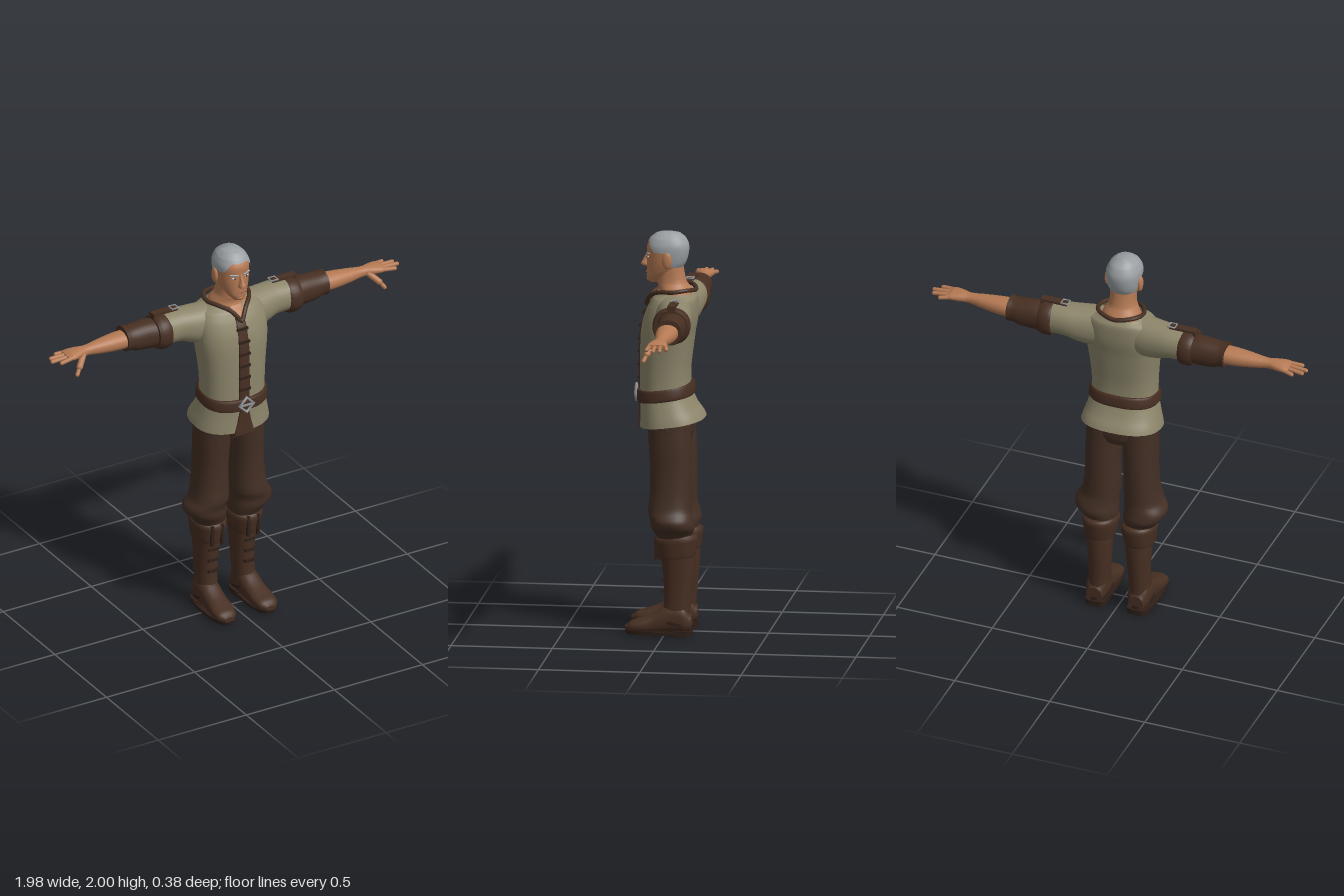
import * as THREE from 'three';
import { ParametricGeometry } from 'three/addons/geometries/ParametricGeometry.js';

const mat = (name, color, side = THREE.FrontSide) => {
  const m = new THREE.MeshStandardMaterial({ color, side });
  m.name = name;
  return m;
};

// Ring: [position on axis, centre u, centre v, radius u, radius v]
const ringY = (y, x, rx, zFront, zBack) => [y, (zFront + zBack) / 2, x, (zFront - zBack) / 2, rx];

// Smoothly interpolated ring at a position on the axis
function ringAt(rings, p) {
  let i = 0;
  while (i < rings.length - 2 && p > rings[i + 1][0]) i++;
  const a = rings[Math.max(i - 1, 0)], b = rings[i], c = rings[i + 1], d = rings[Math.min(i + 2, rings.length - 1)];
  const t = (p - b[0]) / (c[0] - b[0]);
  return b.map((v, k) => k === 0 ? p : v + 0.5 * t * (c[k] - a[k] +
    t * (2 * a[k] - 5 * v + 4 * c[k] - d[k] + t * (3 * (v - c[k]) + d[k] - a[k]))));
}

const pow = (v, n) => Math.sign(v) * Math.abs(v) ** (2 / n);
function ringPoint(axis, r, angle, n, grow = 0) {
  const u = r[1] + (r[3] + grow) * pow(Math.cos(angle), n);
  const v = r[2] + (r[4] + grow) * pow(Math.sin(angle), n);
  return axis === 'x' ? [r[0], u, v] : axis === 'y' ? [v, r[0], u] : [u, v, r[0]];
}

// Skin over rings that run along an axis in increasing order
function loft(axis, rings, { n = 2.2, steps = 4, sides = 32, caps = true } = {}) {
  const pos = [], idx = [], rows = [];
  rings.slice(0, -1).forEach((r, i) => {
    for (let k = 0; k < steps; k++) rows.push(ringAt(rings, r[0] + (rings[i + 1][0] - r[0]) * k / steps));
  });
  rows.push(rings[rings.length - 1]);
  const addRow = r => {
    for (let j = 0; j < sides; j++) pos.push(...ringPoint(axis, r, j / sides * Math.PI * 2, n));
  };
  rows.forEach(addRow);
  for (let i = 0; i < rows.length - 1; i++) for (let j = 0; j < sides; j++) {
    const a = i * sides + j, b = i * sides + (j + 1) % sides;
    idx.push(a, b, b + sides, a, b + sides, a + sides);
  }
  if (caps) [rows[0], rows[rows.length - 1]].forEach((r, end) => {
    const s = pos.length / 3;
    addRow(r);
    pos.push(...ringPoint(axis, [r[0], r[1], r[2], 0, 0], 0, n));
    for (let j = 0; j < sides; j++) {
      const a = s + j, b = s + (j + 1) % sides;
      idx.push(s + sides, end ? a : b, end ? b : a);
    }
  });
  const g = new THREE.BufferGeometry();
  g.setAttribute('position', new THREE.Float32BufferAttribute(pos, 3));
  g.setIndex(idx);
  g.computeVertexNormals();
  return g;
}

// Vertical shift that grows with depth
function tilt(g, slope, weight = () => 1) {
  const p = g.attributes.position;
  for (let i = 0; i < p.count; i++) p.setY(i, p.getY(i) + slope * p.getZ(i) * weight(p.getY(i)));
  g.computeVertexNormals();
  return g;
}

const V = (x, y, z) => new THREE.Vector3(x, y, z);
const ball = (x, y, z, rx, ry, rz) => new THREE.SphereGeometry(1, 16, 12).scale(rx, ry, rz).translate(x, y, z);
const box = (x, y, z, w, h, d) => new THREE.BoxGeometry(w, h, d).translate(x, y, z);
function capsule(a, b, r) {
  const d = b.clone().sub(a);
  return new THREE.CapsuleGeometry(r, d.length(), 6, 12)
    .applyQuaternion(new THREE.Quaternion().setFromUnitVectors(V(0, 1, 0), d.clone().normalize()))
    .translate(...a.clone().add(b).multiplyScalar(0.5).toArray());
}
function mirror(geo) {
  const g = geo.clone().scale(-1, 1, 1), ix = g.index;
  for (let i = 0; i < ix.count; i += 3) {
    const t = ix.getX(i);
    ix.setX(i, ix.getX(i + 1));
    ix.setX(i + 1, t);
  }
  return g;
}

export function createModel() {
  const model = new THREE.Group();
  model.name = 'villager';
  const skin = mat('skin', 0xb57a54), lip = mat('lips', 0x8f5a42), hair = mat('grey hair', 0x9a9fa3);
  const shirt = mat('linen shirt', 0x8d866b, THREE.DoubleSide), trousers = mat('trousers', 0x432f24);
  const leather = mat('leather', 0x472f22), dark = mat('dark leather', 0x2f2019);
  const metal = mat('metal', 0x8f9396), white = mat('eye white', 0xc9c6c0);
  const add = (name, g, m) => {
    const mesh = new THREE.Mesh(g, m);
    mesh.name = name;
    model.add(mesh);
  };
  const pair = (name, g, m) => { add(name + 'Left', g, m); add(name + 'Right', mirror(g), m); };

  // Head and neck
  const headRings = [
    ringY(1.745, 0, 0.022, 0.085, 0.03), ringY(1.768, 0, 0.045, 0.1, 0), ringY(1.8, 0, 0.063, 0.1, -0.05),
    ringY(1.84, 0, 0.075, 0.1, -0.085), ringY(1.885, 0, 0.081, 0.098, -0.1), ringY(1.93, 0, 0.081, 0.098, -0.102),
    ringY(1.965, 0, 0.066, 0.078, -0.086), ringY(1.985, 0, 0.044, 0.05, -0.06), ringY(1.995, 0, 0.016, 0.015, -0.025)];
  add('head', loft('y', headRings, { sides: 40 }), skin);
  add('neck', loft('y', [ringY(1.66, 0, 0.105, 0.06, -0.135), ringY(1.71, 0, 0.09, 0.04, -0.122),
    ringY(1.75, 0, 0.067, 0.048, -0.095), ringY(1.83, 0, 0.064, 0.05, -0.08)]), skin);

  // Cropped hair with a hairline that drops behind the ears
  const step = THREE.MathUtils.smoothstep;
  add('hair', new ParametricGeometry((u, v, out) => {
    const a = (u - 0.5) * Math.PI * 2, around = Math.abs(a);
    const low = 1.952 - 0.05 * step(around, 0.5, 1.1) - 0.075 * step(around, 1.65, 2.0);
    const r = ringAt(headRings, low + (1.995 - low) * v);
    const p = ringPoint('y', r, a, 2.2, v === 1 ? -0.015 : 0.005);
    out.set(p[0], p[1] + 0.005 * v, p[2]);
  }, 48, 16), hair);

  // Face
  add('nose', loft('y', [ringY(1.822, 0, 0.012, 0.112, 0.08), ringY(1.832, 0, 0.018, 0.13, 0.08),
    ringY(1.855, 0, 0.011, 0.12, 0.08), ringY(1.895, 0, 0.008, 0.1, 0.08)], { sides: 16 }), skin);
  add('mouth', ball(0, 1.795, 0.096, 0.024, 0.006, 0.009), lip);
  add('chin', ball(0, 1.763, 0.083, 0.026, 0.016, 0.019), skin);
  pair('eye', ball(0.033, 1.876, 0.087, 0.014, 0.006, 0.009), white);
  pair('iris', ball(0.033, 1.876, 0.0935, 0.005, 0.005, 0.004), dark);
  pair('eyebrow', capsule(V(0.018, 1.89, 0.096), V(0.052, 1.894, 0.084), 0.005), hair);
  pair('ear', ball(0.087, 1.865, -0.01, 0.012, 0.042, 0.024).rotateZ(0), skin);

  // Shirt
  const torso = [
    ringY(1.05, 0, 0.203, 0.13, -0.19), ringY(1.12, 0, 0.185, 0.128, -0.15), ringY(1.2, 0, 0.166, 0.13, -0.12),
    ringY(1.3, 0, 0.166, 0.13, -0.115), ringY(1.4, 0, 0.174, 0.13, -0.125), ringY(1.5, 0, 0.186, 0.127, -0.138),
    ringY(1.57, 0, 0.19, 0.115, -0.15), ringY(1.63, 0, 0.186, 0.092, -0.152), ringY(1.675, 0, 0.165, 0.065, -0.148),
    ringY(1.7, 0, 0.115, 0.035, -0.13)];
  const hemTilt = y => 1 - step(y, 1.08, 1.3);
  add('shirtBody', tilt(loft('y', torso, { n: 2.4, sides: 48, caps: false }), -0.14, hemTilt), shirt);
  pair('shirtSleeve', loft('x', [[0.06, 1.6, -0.045, 0.098, 0.085], [0.13, 1.597, -0.05, 0.1, 0.092],
    [0.2, 1.6, -0.06, 0.094, 0.09], [0.27, 1.61, -0.07, 0.082, 0.084], [0.37, 1.61, -0.07, 0.079, 0.082]]), shirt);

  // Strips that follow the front of the shirt: [y, half width]
  const frontStrip = (list, depth) => loft('y', list.map(([y, w]) => {
    const r = ringAt(torso, y), z = r[1] + r[3];
    return ringY(y, 0, w, z + depth, z - 0.02);
  }), { n: 4, sides: 20 });
  add('placket', frontStrip([[1.2, 0.03], [1.35, 0.03], [1.5, 0.029], [1.6, 0.028], [1.65, 0.026]], 0.007), leather);
  add('hemOpening', tilt(frontStrip([[1.04, 0.055], [1.1, 0.04], [1.19, 0.022]], 0.008), -0.14, hemTilt), leather);
  add('openNeck', frontStrip([[1.635, 0.006], [1.665, 0.02], [1.7, 0.04]], 0.012), skin);
  for (let i = 0; i < 6; i++) {
    const y = 1.27 + i * 0.065, r = ringAt(torso, y);
    add('toggle', box(0, y, r[1] + r[3] + 0.006, 0.062, 0.012, 0.012), dark);
  }
  const collar = [[0, 1.635, 0.103], [0.022, 1.665, 0.09], [0.045, 1.69, 0.068], [0.09, 1.71, 0.02],
    [0.116, 1.715, -0.04], [0.095, 1.722, -0.105], [0, 1.712, -0.142]];
  const collarPath = [...collar, ...collar.slice(1, -1).reverse().map(([x, y, z]) => [-x, y, z])];
  add('collarTrim', new THREE.TubeGeometry(
    new THREE.CatmullRomCurve3(collarPath.map(p => V(...p)), true), 64, 0.011, 8, true), leather);

  // Belt and diamond buckle
  add('belt', tilt(loft('y', [ringY(1.175, 0, 0.172, 0.142, -0.135), ringY(1.185, 0, 0.179, 0.147, -0.139),
    ringY(1.225, 0, 0.175, 0.147, -0.134), ringY(1.235, 0, 0.168, 0.141, -0.126)],
  { n: 2.4, sides: 48, steps: 1 }), -0.14), leather);
  add('beltBuckle', new THREE.TorusGeometry(0.04, 0.008, 8, 4).translate(0, 1.19, 0.152), metal);
  add('bucklePin', box(0, 1.19, 0.154, 0.075, 0.008, 0.008), metal);

  // Arm leather, strap and buckle
  pair('armBand', loft('x', [[0.335, 1.603, -0.071, 0.084, 0.086], [0.35, 1.603, -0.071, 0.089, 0.092],
    [0.385, 1.603, -0.071, 0.089, 0.092], [0.405, 1.603, -0.071, 0.08, 0.084]], { steps: 2 }), leather);
  pair('lowerSleeve', loft('x', [[0.38, 1.603, -0.075, 0.07, 0.074], [0.44, 1.603, -0.078, 0.073, 0.07],
    [0.51, 1.603, -0.08, 0.068, 0.066], [0.545, 1.608, -0.08, 0.061, 0.064], [0.57, 1.61, -0.08, 0.063, 0.067]]), leather);
  pair('shoulderStrap', box(0.335, 1.702, -0.075, 0.13, 0.012, 0.04), leather);
  pair('strapEnd', box(0.4, 1.69, -0.075, 0.012, 0.035, 0.04), leather);
  pair('strapBuckle', new THREE.TorusGeometry(0.025, 0.005, 6, 4).rotateZ(Math.PI / 4).rotateX(Math.PI / 2)
    .translate(0.282, 1.707, -0.075), metal);

  // Forearm and hand
  pair('forearm', loft('x', [[0.54, 1.608, -0.078, 0.043, 0.054], [0.62, 1.607, -0.077, 0.042, 0.051],
    [0.71, 1.607, -0.075, 0.034, 0.039], [0.785, 1.608, -0.073, 0.025, 0.028], [0.83, 1.61, -0.071, 0.024, 0.04],
    [0.875, 1.61, -0.07, 0.02, 0.05], [0.9, 1.61, -0.07, 0.011, 0.046]]), skin);
  [[-0.107, 0.925, -0.12], [-0.083, 0.968, -0.092], [-0.058, 0.978, -0.061], [-0.034, 0.945, -0.026]].forEach(([z, x, tipZ]) =>
    pair('finger', capsule(V(0.87, 1.61, z), V(x, 1.603, tipZ), 0.0105), skin));
  pair('thumbBase', capsule(V(0.81, 1.6, -0.05), V(0.85, 1.56, -0.015), 0.016), skin);
  pair('thumbTip', capsule(V(0.85, 1.56, -0.015), V(0.872, 1.53, 0), 0.0105), skin);

  // Trousers
  add('hips', loft('y', [ringY(0.965, 0, 0.13, 0.06, -0.12), ringY(1, 0, 0.178, 0.078, -0.13),
    ringY(1.08, 0, 0.176, 0.1, -0.13), ringY(1.17, 0, 0.158, 0.11, -0.11)]), trousers);
  pair('trouserLeg', loft('y', [
    ringY(0.47, 0.1, 0.075, 0.03, -0.13), ringY(0.51, 0.105, 0.085, 0.045, -0.14), ringY(0.545, 0.122, 0.102, 0.062, -0.152),
    ringY(0.585, 0.128, 0.106, 0.066, -0.145), ringY(0.63, 0.112, 0.094, 0.078, -0.135), ringY(0.7, 0.104, 0.088, 0.072, -0.135),
    ringY(0.82, 0.1, 0.083, 0.07, -0.135), ringY(0.94, 0.096, 0.087, 0.077, -0.132), ringY(1.05, 0.09, 0.09, 0.082, -0.128)]), trousers);

  // Boots
  pair('bootCuff', tilt(loft('y', [ringY(0.385, 0.103, 0.073, 0.03, -0.15), ringY(0.4, 0.103, 0.077, 0.036, -0.155),
    ringY(0.45, 0.101, 0.084, 0.045, -0.162), ringY(0.485, 0.101, 0.087, 0.05, -0.165),
    ringY(0.497, 0.101, 0.076, 0.035, -0.15)], { steps: 2 }), -0.08), leather);
  pair('bootShaft', loft('y', [ringY(0.07, 0.108, 0.054, 0.02, -0.13), ringY(0.14, 0.106, 0.052, 0.004, -0.13),
    ringY(0.25, 0.103, 0.055, 0.002, -0.14), ringY(0.34, 0.102, 0.06, 0.01, -0.148), ringY(0.42, 0.102, 0.064, 0.02, -0.15)]), leather);
  pair('bootFoot', loft('z', [[-0.135, 0.11, 0.065, 0.038, 0.04], [-0.1, 0.11, 0.085, 0.054, 0.07],
    [-0.02, 0.11, 0.083, 0.056, 0.07], [0.05, 0.112, 0.062, 0.056, 0.05], [0.11, 0.115, 0.05, 0.06, 0.037],
    [0.16, 0.117, 0.042, 0.052, 0.028], [0.19, 0.118, 0.035, 0.026, 0.014]], { n: 2.4 }), leather);
  pair('sole', loft('y', [ringY(0.008, 0.115, 0.06, 0.188, -0.136), ringY(0.026, 0.115, 0.062, 0.193, -0.138)],
    { steps: 1, n: 2.6 }), dark);
  pair('heel', loft('y', [ringY(0, 0.11, 0.052, -0.03, -0.137), ringY(0.03, 0.11, 0.054, -0.025, -0.139)],
    { steps: 1, n: 4 }), dark);
  pair('ankleStrap', tilt(loft('y', [ringY(0.07, 0.109, 0.059, 0.045, -0.138), ringY(0.086, 0.109, 0.059, 0.038, -0.138)],
    { steps: 1 }), 0.25), dark);
  [0.075, 0.13].forEach(x => pair('cuffTab', box(x, 0.435, 0.04, 0.016, 0.11, 0.014), dark));
  [0.22, 0.28, 0.34].forEach(y => pair('bootLace', box(0.103, y, 0, 0.055, 0.014, 0.022), dark));
  return model;
}
